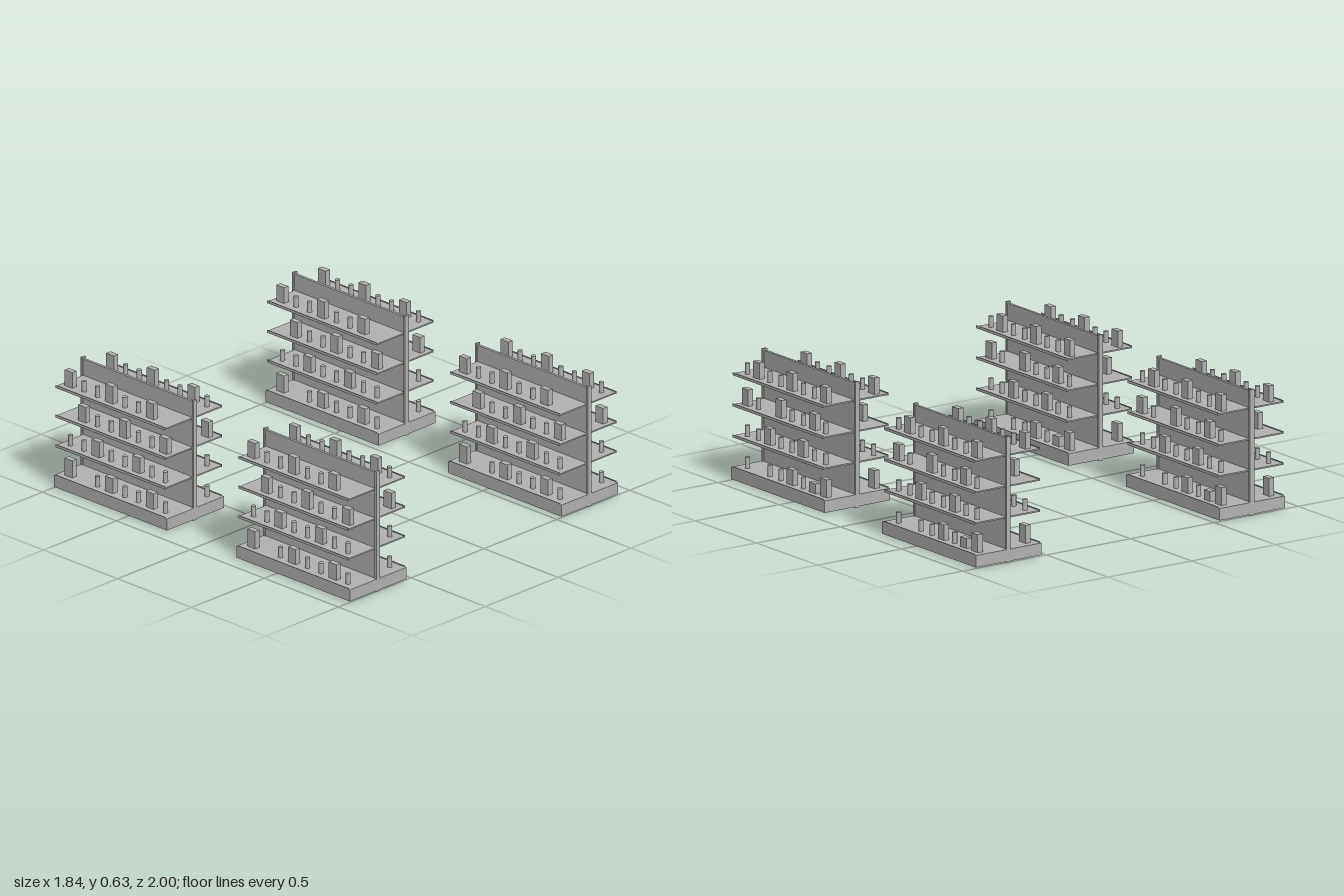
import * as THREE from 'three';

const HALF_W = 0.195, HALF_L = 0.3825;
const SHELF_TOPS = [0.065, 0.225, 0.38, 0.535];

export function createModel() {
  const grey = new THREE.MeshStandardMaterial({ color: 0xb0b0b0 });
  grey.name = 'grey';

  const add = (parent, name, geometry, x, y, z) => {
    const mesh = new THREE.Mesh(geometry, grey);
    mesh.name = name;
    mesh.position.set(x, y, z);
    parent.add(mesh);
    return mesh;
  };
  // Box given by its size and the height of its underside
  const box = (parent, name, w, h, l, x, y, z) =>
    add(parent, name, new THREE.BoxGeometry(w, h, l), x, y + h / 2, z);

  const can = new THREE.CylinderGeometry(0.0125, 0.0125, 0.055, 12);

  // Goods: every third slot is a carton, the rest are cans, a few slots are empty
  function stock(parent, side, row) {
    const y = SHELF_TOPS[row];
    const x = side * 0.1425;
    for (let i = 0; i < 8; i++) {
      if ((2 * i + row + (side < 0 ? 10 : 0)) % 15 === 12) continue;
      const z = (i - 3.5) * 0.0914;
      if ((i + row) % 3 === 0) {
        const h = i === 3 && row === 0 ? 0.078 : i === 0 && row === 0 ? 0.09 : i === 4 || (i === 3 && row === 3) ? 0.09 : 0.082;
        box(parent, 'carton', 0.03, h, 0.052, x, y, z);
      } else if (row === 0 && i === 1) {
        box(parent, 'shortCarton', 0.03, 0.05, 0.052, x, y, z);
      } else {
        add(parent, 'can', can, x, y + 0.0275, z);
      }
    }
  }

  function shelfUnit() {
    const unit = new THREE.Group();
    unit.name = 'shelfUnit';

    // Plinth, central back panel and end posts
    box(unit, 'base', 2 * HALF_W, 0.06, 2 * HALF_L, 0, 0.005, 0);
    box(unit, 'backPanel', 0.014, 0.6, 0.744, 0, 0.02, 0);
    for (const s of [-1, 1]) box(unit, 'endPost', 0.025, 0.628, 0.012, 0, 0, s * 0.3765);

    // Shelves on both sides, with a thin rail along each outer edge
    SHELF_TOPS.forEach((y, row) => {
      for (const side of [-1, 1]) {
        if (row > 0) box(unit, 'shelf', 0.188, 0.007, 0.74, side * 0.1, y - 0.007, 0);
        box(unit, 'shelfRail', 0.003, 0.014, 0.74, side * (HALF_W - 0.0015), y - 0.009, 0);
        stock(unit, side, row);
      }
    });
    return unit;
  }

  const model = new THREE.Group();
  model.name = 'storeShelving';
  for (const x of [-0.7265, 0.7265]) {
    for (const z of [-0.6175, 0.6175]) {
      const unit = shelfUnit();
      unit.position.set(x, 0, z);
      model.add(unit);
    }
  }
  return model;
}
